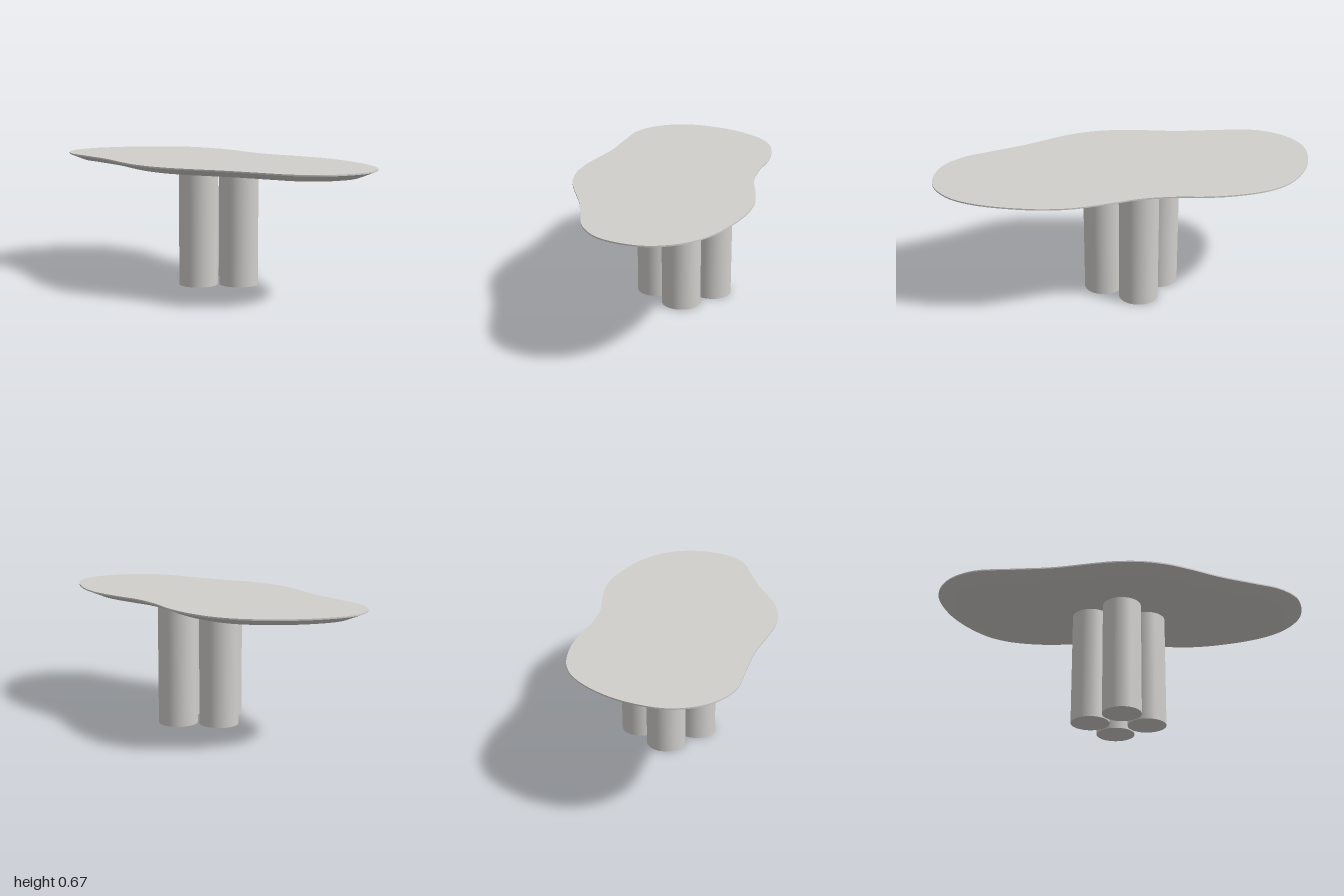
import * as THREE from 'three';

const stone = new THREE.MeshStandardMaterial({ color: 0xd1cfcc });
stone.name = 'warmGrey';

// Outline of the table top as [x, z], clockwise seen from above
const OUTLINE = [
  [-1, 0], [-0.945, -0.19], [-0.85, -0.335], [-0.73, -0.445], [-0.61, -0.495], [-0.45, -0.51],
  [-0.29, -0.493], [-0.13, -0.453], [0.045, -0.434], [0.19, -0.447], [0.365, -0.455],
  [0.47, -0.442], [0.6, -0.405], [0.8, -0.31], [0.92, -0.21], [0.98, -0.105], [1, 0],
  [0.975, 0.125], [0.915, 0.23], [0.8, 0.31], [0.67, 0.345], [0.47, 0.395], [0.3, 0.455],
  [0.18, 0.49], [0.06, 0.502], [-0.08, 0.488], [-0.2, 0.455], [-0.4, 0.39], [-0.61, 0.35],
  [-0.8, 0.31], [-0.92, 0.225], [-0.98, 0.125],
];
const STEPS = 160;
const TOP = 0.667, RIM = 0.66, UNDER = 0.628, INSET = 0.08;

// Points of the outline moved inwards by a distance, and the outward directions
const curve = new THREE.CatmullRomCurve3(OUTLINE.map(([x, z]) => new THREE.Vector3(x, 0, z)), true);
const samples = Array.from({ length: STEPS }, (_, i) => {
  const t = curve.getTangent(i / STEPS);
  return { p: curve.getPoint(i / STEPS), n: new THREE.Vector3(t.z, 0, -t.x).normalize() };
});
const ring = (inset, y) => samples.map(({ p, n }) => p.clone().addScaledVector(n, -inset).setY(y));

// Smooth band between an upper and a lower ring
function band(upper, lower, slope) {
  const pos = [], nor = [], idx = [];
  for (let i = 0; i <= STEPS; i++) {
    const k = i % STEPS;
    const n = samples[k].n.clone().setY(-slope).normalize();
    pos.push(...upper[k].toArray(), ...lower[k].toArray());
    nor.push(...n.toArray(), ...n.toArray());
    if (i < STEPS) {
      const a = 2 * i;
      idx.push(a + 1, a, a + 2, a + 1, a + 2, a + 3);
    }
  }
  const g = new THREE.BufferGeometry();
  g.setAttribute('position', new THREE.Float32BufferAttribute(pos, 3));
  g.setAttribute('normal', new THREE.Float32BufferAttribute(nor, 3));
  g.setIndex(idx);
  return g;
}

// Flat cap over a ring, facing up (side = 1) or down (side = -1)
function cap(points, side) {
  const shape = new THREE.Shape(points.map((p) => new THREE.Vector2(p.x, -side * p.z)));
  return new THREE.ShapeGeometry(shape).rotateX(-side * Math.PI / 2).translate(0, points[0].y, 0);
}

function add(parent, name, geometry) {
  const mesh = new THREE.Mesh(geometry, stone);
  mesh.name = name;
  parent.add(mesh);
  return mesh;
}

export function createModel() {
  const table = new THREE.Group();
  table.name = 'table';

  // Freeform top: thin upright rim, then a bevel running in underneath
  const top = new THREE.Group();
  top.name = 'tableTop';
  table.add(top);
  const upper = ring(0, TOP), rim = ring(0, RIM), under = ring(INSET, UNDER);
  add(top, 'topSurface', cap(upper, 1));
  add(top, 'rim', band(upper, rim, 0));
  add(top, 'bevel', band(rim, under, INSET / (RIM - UNDER)));
  add(top, 'underside', cap(under, -1));

  // Base: four columns in a diamond
  const base = new THREE.Group();
  base.name = 'base';
  base.position.set(-0.013, UNDER / 2, -0.069);
  table.add(base);
  const column = new THREE.CylinderGeometry(0.103, 0.103, UNDER, 48);
  ['leftColumn', 'frontColumn', 'rightColumn', 'backColumn'].forEach((name, i) => {
    const a = i * Math.PI / 2;
    add(base, name, column).position.set(0.152 * Math.cos(a), 0, 0.152 * Math.sin(a));
  });
  return table;
}
